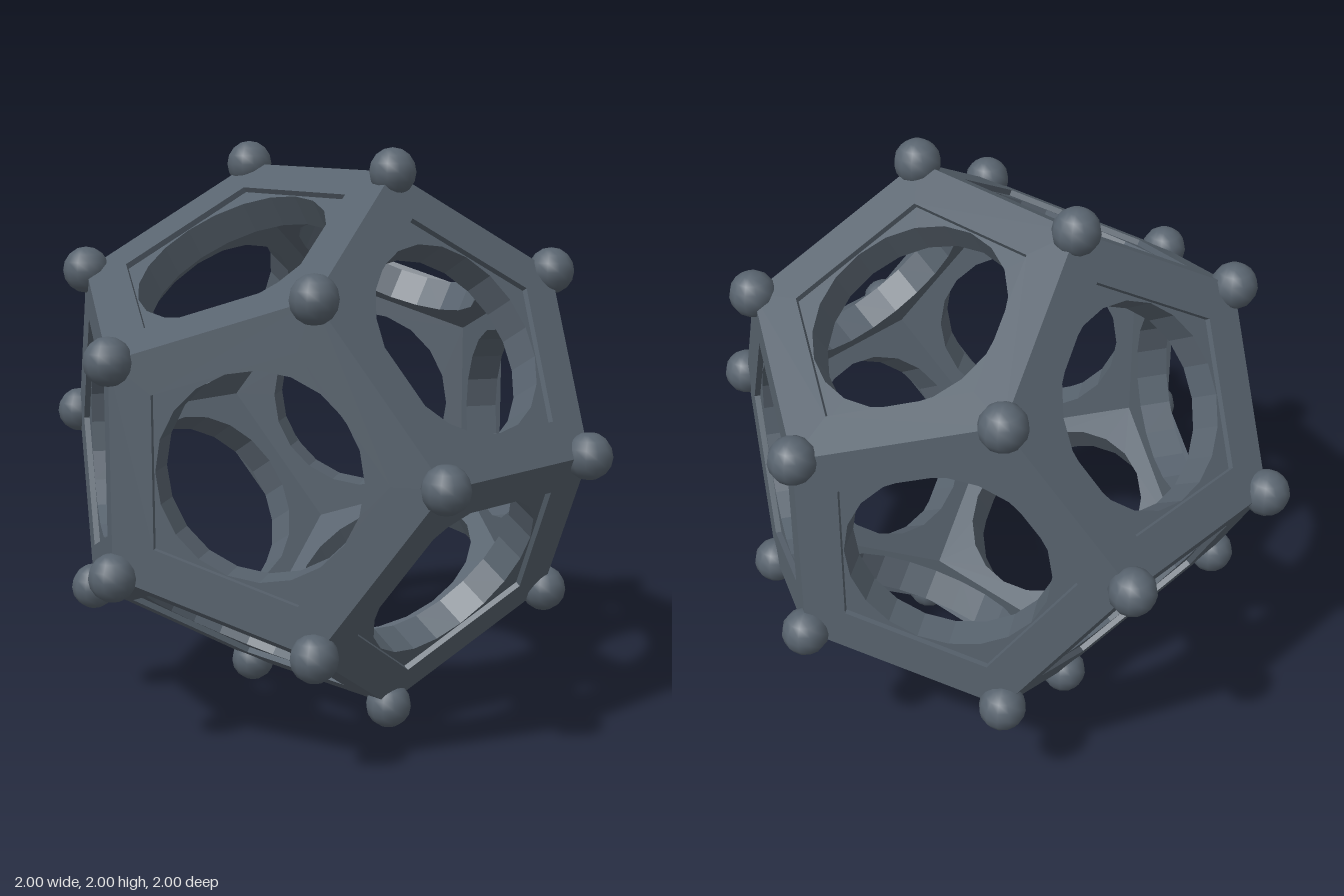
import * as THREE from 'three';

const PHI = (1 + Math.sqrt(5)) / 2;
const UNIT = 0.92 / PHI;      // half side of the cube inscribed in the dodecahedron
const KNOB_R = 0.08;
const RECESS = 0.02;          // depth of the sunken pentagon panel
const DEPTH = 0.135;          // shell thickness
const HOLE_R = 0.34;
const HOLE_SIDES = 20;

// Regular polygon points, first corner pointing up
function ring(sides, radius) {
  return Array.from({ length: sides }, (_, i) => {
    const a = Math.PI / 2 + (i * 2 * Math.PI) / sides;
    return new THREE.Vector2(radius * Math.cos(a), radius * Math.sin(a));
  });
}

// Flat plate with a cut-out
function plate(outer, inner, z, faceBack = false) {
  const shape = new THREE.Shape(outer);
  shape.holes.push(new THREE.Path(inner));
  const geo = new THREE.ShapeGeometry(shape);
  if (faceBack) geo.rotateY(Math.PI);
  return geo.translate(0, 0, z);
}

// Flat-sided wall facing the axis, from z = top down to z = bottom
function wall(points, top, bottom) {
  const pos = [];
  points.forEach((p, i) => {
    const q = points[(i + 1) % points.length];
    pos.push(p.x, p.y, top, q.x, q.y, top, p.x, p.y, bottom);
    pos.push(q.x, q.y, top, q.x, q.y, bottom, p.x, p.y, bottom);
  });
  const geo = new THREE.BufferGeometry();
  geo.setAttribute('position', new THREE.Float32BufferAttribute(pos, 3));
  geo.computeVertexNormals();
  return geo;
}

export function createModel() {
  const model = new THREE.Group();
  model.name = 'hollowDodecahedron';
  const metal = new THREE.MeshStandardMaterial({ color: 0x58636e });
  metal.name = 'slateMetal';

  const faceR = UNIT / PHI / Math.sin(Math.PI / 5);
  const faceDist = (PHI * PHI * UNIT) / Math.sqrt(1 + PHI * PHI);
  const outer = ring(5, faceR);
  const inset = ring(5, faceR * 0.71);
  const inside = ring(5, faceR * (1 - DEPTH / faceDist));
  const hole = ring(HOLE_SIDES, HOLE_R);

  // Parts of one face, lying in its own plane with the outside towards +z
  const parts = {
    frame: plate(outer, inset, 0),
    recessEdge: wall(inset, 0, -RECESS),
    recessedPanel: plate(inset, hole, -RECESS),
    holeWall: wall(hole, -RECESS, -DEPTH),
    innerPanel: plate(inside, hole, -DEPTH, true),
  };

  const knobGeo = new THREE.SphereGeometry(KNOB_R, 12, 8);
  const addKnob = (v) => {
    const knob = new THREE.Mesh(knobGeo, metal);
    knob.name = 'cornerKnob';
    knob.position.copy(v);
    knob.position.y += 1;
    model.add(knob);
  };
  // Cyclic shift of the three coordinates
  const shifted = (c, k) => new THREE.Vector3(c[(3 - k) % 3], c[(4 - k) % 3], c[(5 - k) % 3]);

  for (let k = 0; k < 3; k++) {
    for (const s of [1, -1]) {
      for (const t of [1, -1]) {
        const normal = shifted([0, s, t * PHI], k).normalize();
        const corner = shifted([0, s * PHI, t / PHI], k).multiplyScalar(UNIT);
        addKnob(corner);

        // Face turned so that its first corner meets the knob
        const up = corner.clone().addScaledVector(normal, -corner.dot(normal)).normalize();
        const side = new THREE.Vector3().crossVectors(up, normal);
        const face = new THREE.Group();
        face.name = 'pentagonFace';
        face.quaternion.setFromRotationMatrix(new THREE.Matrix4().makeBasis(side, up, normal));
        face.position.copy(normal).multiplyScalar(faceDist);
        face.position.y += 1;
        for (const [name, geo] of Object.entries(parts)) {
          const mesh = new THREE.Mesh(geo, metal);
          mesh.name = name;
          face.add(mesh);
        }
        model.add(face);
      }
    }
  }

  // Knobs on the remaining eight corners
  for (const x of [-1, 1]) for (const y of [-1, 1]) for (const z of [-1, 1]) {
    addKnob(new THREE.Vector3(x, y, z).multiplyScalar(UNIT));
  }
  return model;
}
